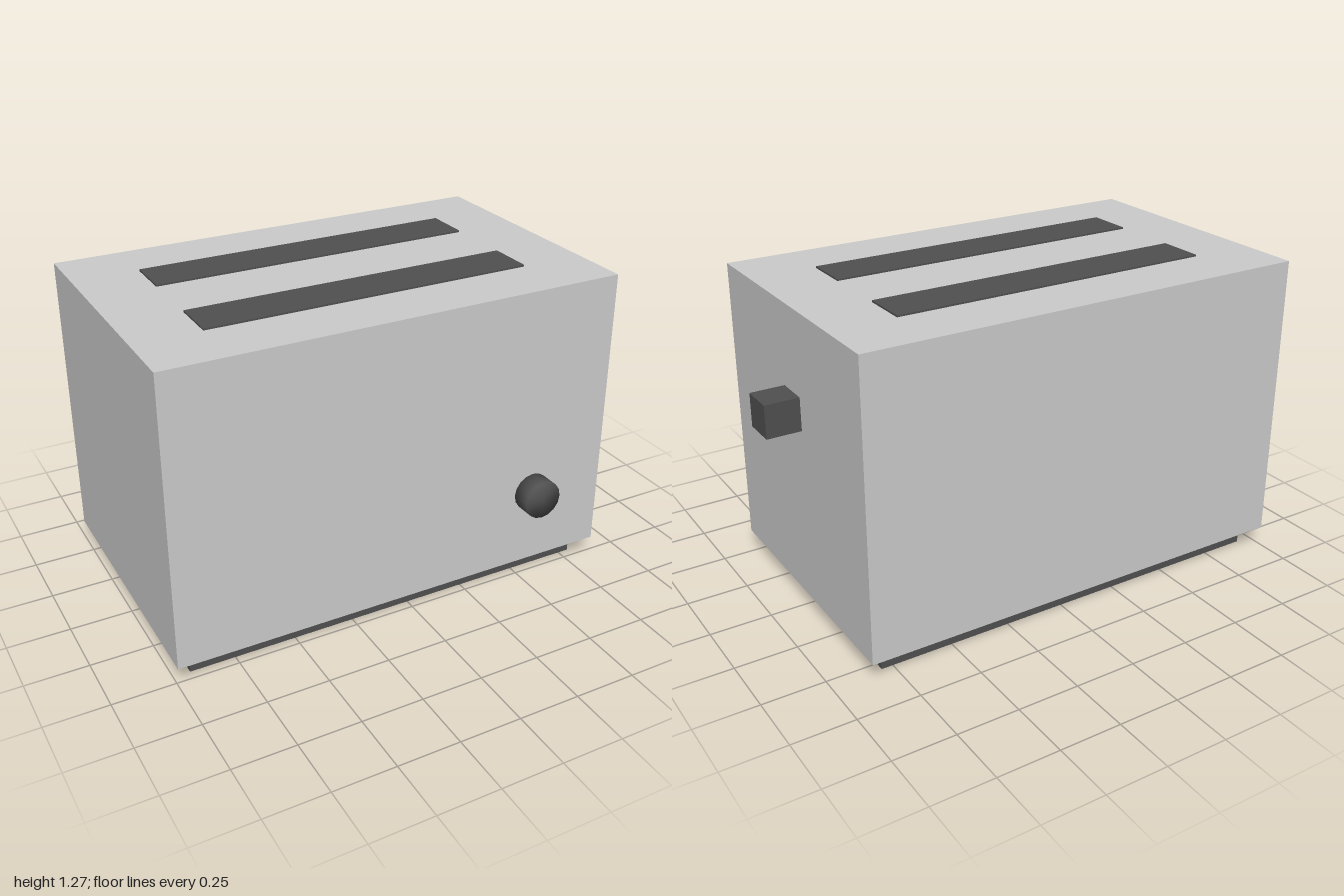
import * as THREE from 'three';
import { mergeVertices } from 'three/addons/utils/BufferGeometryUtils.js';

const grey = new THREE.MeshStandardMaterial({ color: 0xcccccc });
const dark = new THREE.MeshStandardMaterial({ color: 0x505050 });

// Box given by its lower and upper limits on each axis
function box(name, material, [x0, x1], [y0, y1], [z0, z1]) {
  const mesh = new THREE.Mesh(new THREE.BoxGeometry(x1 - x0, y1 - y0, z1 - z0), material);
  mesh.position.set((x0 + x1) / 2, (y0 + y1) / 2, (z0 + z1) / 2);
  mesh.name = name;
  return mesh;
}

export function createModel() {
  const toaster = new THREE.Group();
  toaster.name = 'toaster';

  // Housing on a slightly inset base
  toaster.add(box('body', grey, [-1, 0.863], [0.083, 1.268], [-0.607, 0.527]));
  toaster.add(box('base', dark, [-0.933, 0.796], [0, 0.083], [-0.54, 0.461]));

  // Two bread slots, standing just proud of the top
  for (const [name, z] of [['backSlot', -0.274], ['frontSlot', 0.193]]) {
    toaster.add(box(name, dark, [-0.734, 0.597], [1.24, 1.275], [z - 0.094, z + 0.094]));
  }

  // Push-down lever on the left side
  toaster.add(box('lever', dark, [0.863, 1], [0.802, 0.935], [-0.106, 0.028]));

  // Browning knob, with normals shared across its rim for soft shading
  let knobShape = new THREE.CylinderGeometry(0.08, 0.08, 0.08, 16);
  knobShape.deleteAttribute('normal');
  knobShape.deleteAttribute('uv');
  knobShape = mergeVertices(knobShape);
  knobShape.computeVertexNormals();
  const knob = new THREE.Mesh(knobShape, dark);
  knob.name = 'knob';
  knob.rotation.x = Math.PI / 2;
  knob.position.set(0.53, 0.402, 0.567);
  toaster.add(knob);

  return toaster;
}
